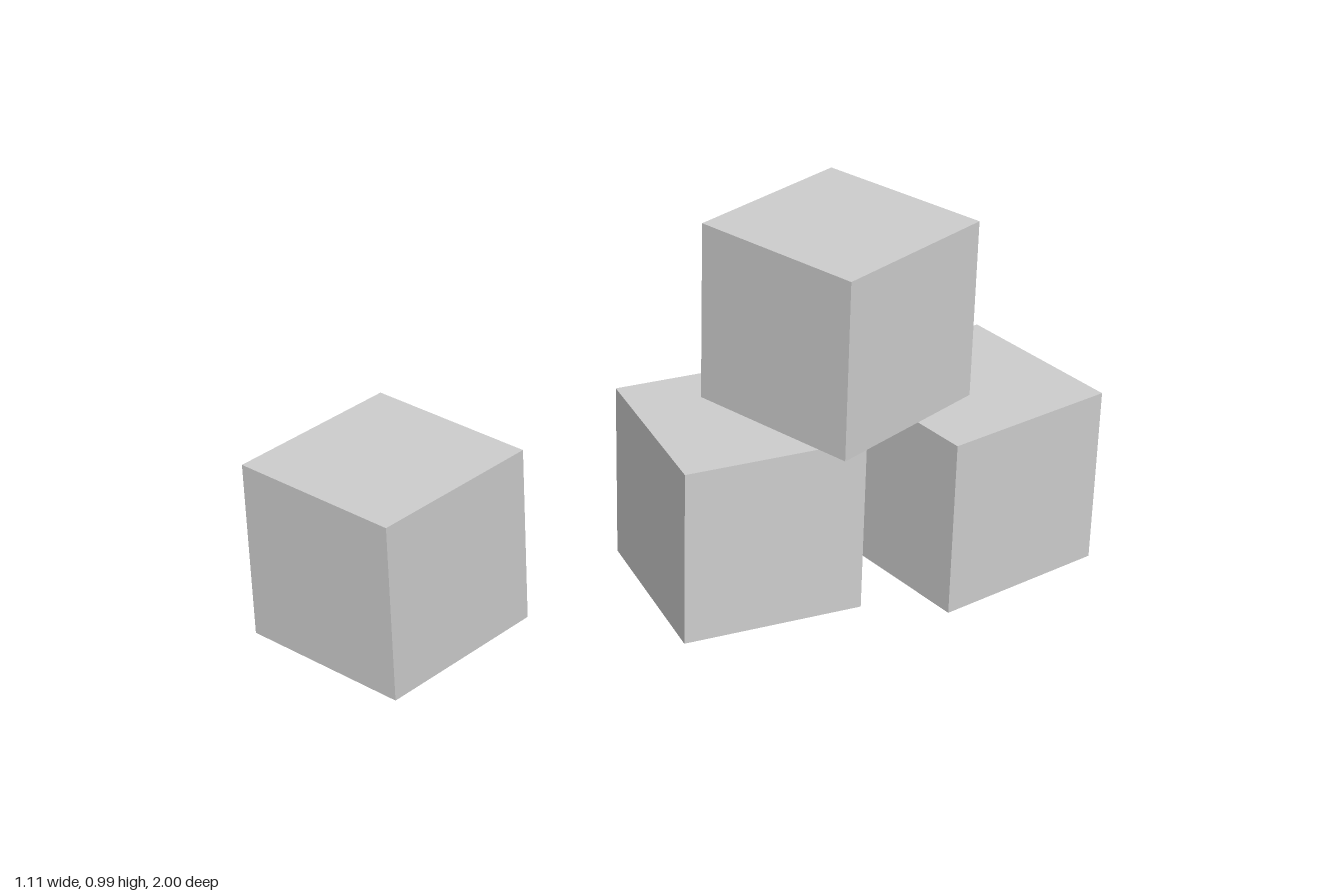
import * as THREE from 'three';

export function createModel() {
  const group = new THREE.Group();
  const grey = new THREE.MeshStandardMaterial({ color: 0xcccccc });
  grey.name = 'lightGrey';

  const size = 0.494;
  const cube = new THREE.BoxGeometry(size, size, size);

  // name, centre x, base height, centre z, turn about the vertical
  const blocks = [
    ['looseBlock', -0.253, 0, 0.696, 0.266],
    ['middleBlock', 0.087, 0, -0.162, -0.26],
    ['rearBlock', 0.302, 0, -0.751, -0.01],
    ['topBlock', 0.155, size, -0.424, 0.174],
  ];

  for (const [name, x, base, z, turn] of blocks) {
    const mesh = new THREE.Mesh(cube, grey);
    mesh.name = name;
    mesh.position.set(x, base + size / 2, z);
    mesh.rotation.y = turn;
    group.add(mesh);
  }
  return group;
}
